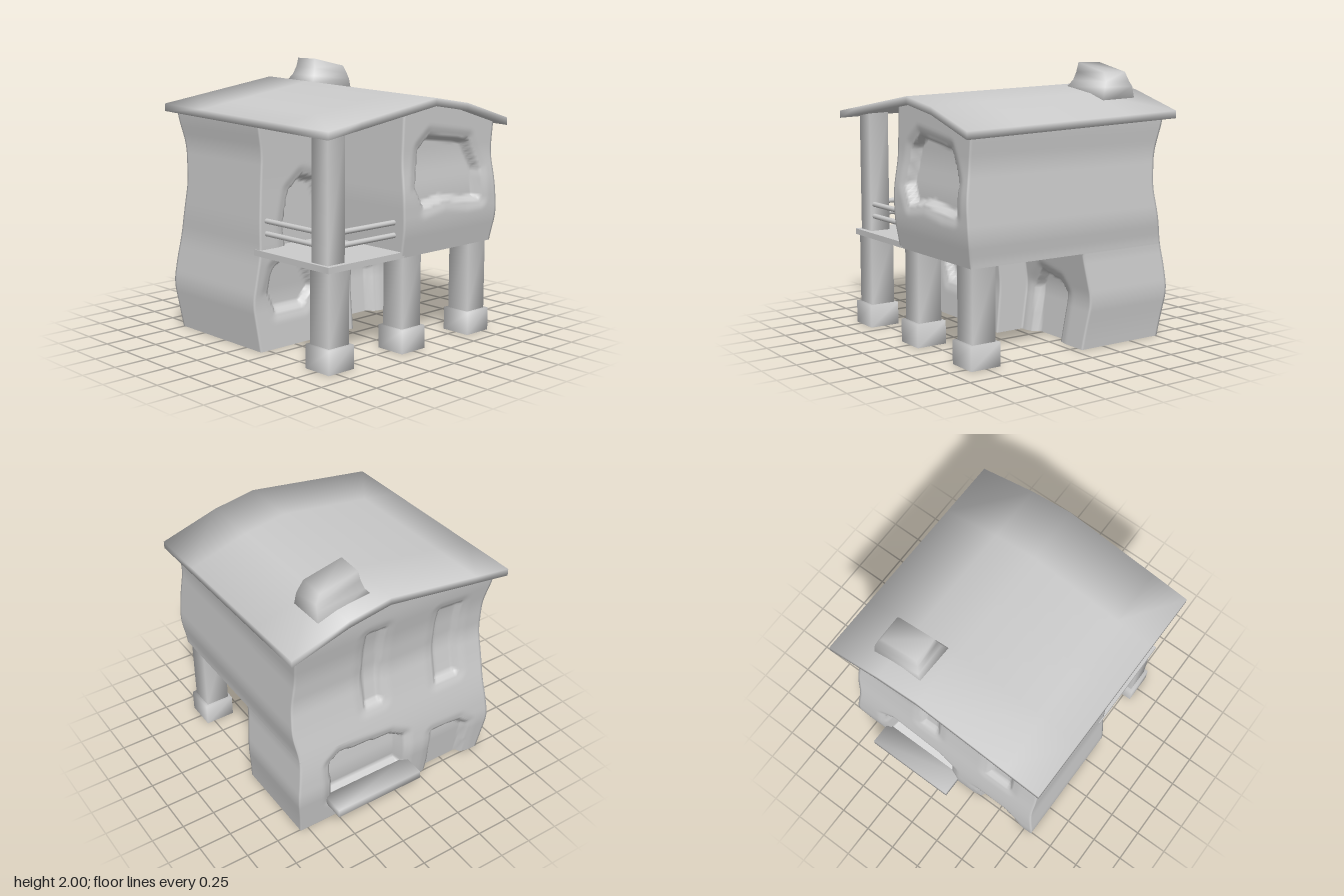
import * as THREE from 'three';
import { mergeVertices } from 'three/addons/utils/BufferGeometryUtils.js';

const material = new THREE.MeshStandardMaterial({ color: 0xcccccc, side: THREE.DoubleSide });

// Piecewise linear lookup in a list of [input, value]
function lookup(table, t) {
  for (let i = 1; i < table.length; i++) {
    const [a, va] = table[i - 1], [b, vb] = table[i];
    if (t <= b || i === table.length - 1) return va + (vb - va) * (t - a) / (b - a);
  }
}

// Wavy wall profile by height, with its kinks softened
const profile = table => y =>
  [-0.06, -0.03, 0, 0.03, 0.06].reduce((sum, d) => sum + lookup(table, y + d) / 5, 0);

const rightX = profile([[0, 0.81], [0.12, 0.82], [0.35, 0.85], [0.69, 0.807], [0.9, 0.838], [1.36, 0.797], [1.6, 0.825], [1.8, 0.83]]);
const leftX = profile([[0, -0.815], [0.35, -0.855], [0.7, -0.808], [0.9, -0.81], [1.4, -0.787], [1.6, -0.82], [1.8, -0.83]]);
const backZ = profile([[0, -0.76], [0.35, -0.815], [0.55, -0.8], [0.7, -0.775], [0.9, -0.73], [1.12, -0.69], [1.37, -0.713], [1.61, -0.77], [1.8, -0.79]]);
const nearZ = profile([[0, 0.168], [0.35, 0.137], [0.69, 0.165], [1.2, 0.16], [1.8, 0.17]]);
const farZ = profile([[0, -0.06], [0.35, -0.11], [0.69, -0.06]]);
const roomZ = profile([[0.69, 0.865], [0.9, 0.903], [1.12, 0.903], [1.35, 0.87], [1.8, 0.87]]);
const roomX = profile([[0.69, -0.13], [1.1, -0.147], [1.7, -0.12]]);

// Underside of the roof
const roofUnder = (x, z) =>
  lookup([[-0.89, 1.578], [0.12, 1.733], [0.45, 1.68], [0.89, 1.547]], x) + 0.062 * (0.945 - z) / 1.78;

// Distance from a point to a polygon, negative inside
function polygonDistance(poly, x, y) {
  let best = Infinity, inside = false;
  poly.forEach(([ax, ay], i) => {
    const [bx, by] = poly[(i + 1) % poly.length];
    const dx = bx - ax, dy = by - ay;
    const t = THREE.MathUtils.clamp(((x - ax) * dx + (y - ay) * dy) / (dx * dx + dy * dy), 0, 1);
    best = Math.min(best, Math.hypot(x - ax - t * dx, y - ay - t * dy));
    if (ay > y !== by > y && x < ax + dx * (y - ay) / dy) inside = !inside;
  });
  return inside ? -best : best;
}

// Flat pane inside the outline, a steep step at it and a shallow dip around it
function recessDepth({ poly, depth }, x, y) {
  const d = polygonDistance(poly, x, y);
  const step = 1 - THREE.MathUtils.smoothstep(d, -0.012, 0.018);
  const dip = 0.25 * (1 - THREE.MathUtils.smoothstep(d, 0, 0.09));
  return depth * Math.max(step, dip);
}

// Closed ring of walls; corners(y) lists [x, z] anticlockwise from the front left
function wallRing(corners, bottom, top, rows, recesses) {
  const base = corners(bottom), ring = [];
  base.forEach(([x, z], k) => {
    const [nx, nz] = base[(k + 1) % base.length];
    const n = Math.ceil(Math.hypot(nx - x, nz - z) / 0.018);
    for (let i = 0; i < n; i++) ring.push([k, i / n]);
  });
  const pos = [], index = [], n = ring.length;
  const place = (c, [k, t]) => {
    const a = c[k], b = c[(k + 1) % c.length];
    return [a[0] + (b[0] - a[0]) * t, a[1] + (b[1] - a[1]) * t];
  };
  for (let j = 0; j <= rows; j++) {
    ring.forEach((r, i) => {
      const y = bottom + (top(...place(base, r)) - bottom) * j / rows;
      let [x, z] = place(corners(y), r);
      for (const rec of recesses) if (rec.wall === r[0]) z += (r[0] === 4 ? 1 : -1) * recessDepth(rec, x, y);
      pos.push(x, y, z);
      if (j < rows) {
        const a = j * n + i, b = j * n + (i + 1) % n;
        index.push(a, b, b + n, a, b + n, a + n);
      }
    });
  }
  const g = new THREE.BufferGeometry();
  g.setAttribute('position', new THREE.Float32BufferAttribute(pos, 3));
  g.setIndex(index);
  g.computeVertexNormals();
  return g;
}

// Soft shading across all edges: every face counts equally, whatever its size
function softShade(geometry) {
  geometry.deleteAttribute('normal');
  geometry.deleteAttribute('uv');
  const g = mergeVertices(geometry), p = g.attributes.position, ids = g.index.array;
  const normals = Array.from({ length: p.count }, () => new THREE.Vector3());
  const tri = new THREE.Triangle(), face = new THREE.Vector3();
  for (let i = 0; i < ids.length; i += 3) {
    tri.setFromAttributeAndIndices(p, ids[i], ids[i + 1], ids[i + 2]).getNormal(face);
    for (let k = 0; k < 3; k++) normals[ids[i + k]].add(face);
  }
  g.setAttribute('normal', new THREE.Float32BufferAttribute(normals.flatMap(n => n.normalize().toArray()), 3));
  return g;
}

// Box without the listed sides (2 = top, 3 = bottom)
function openBox(w, h, d, missing) {
  const g = new THREE.BoxGeometry(w, h, d);
  g.setIndex([...g.index.array].filter((_, i) => !missing.includes(Math.floor(i / 6))));
  return softShade(g);
}

export function createModel() {
  const house = new THREE.Group();
  const add = (name, geometry) => {
    const mesh = new THREE.Mesh(geometry, material);
    mesh.name = name;
    house.add(mesh);
    return mesh;
  };

  // Ground floor: stepped front, two doors, front window and back window
  add('lowerWalls', wallRing(
    y => [[leftX(y), nearZ(y)], [0.08, nearZ(y)], [0.08, farZ(y)], [rightX(y), farZ(y)], [rightX(y), backZ(y)], [leftX(y), backZ(y)]],
    0, () => 0.69, 38, [
      { wall: 0, depth: 0.07, poly: [[-0.64, 0.27], [-0.39, 0.27], [-0.29, 0.39], [-0.4, 0.62], [-0.54, 0.645], [-0.67, 0.58], [-0.71, 0.42]] },
      { wall: 2, depth: 0.07, poly: [[0.21, -0.2], [0.52, -0.2], [0.55, 0.35], [0.49, 0.43], [0.28, 0.475], [0.19, 0.35]] },
      { wall: 4, depth: 0.11, poly: [[-0.06, 0.23], [0.55, 0.23], [0.56, 0.55], [0.48, 0.6], [0.05, 0.56], [-0.06, 0.5]] },
      { wall: 4, depth: 0.06, poly: [[-0.66, -0.2], [-0.33, -0.2], [-0.33, 0.42], [-0.58, 0.41], [-0.66, 0.34]] },
    ]));

  // Upper floor: room reaching forward on the left side, balcony wall on the right
  add('upperWalls', wallRing(
    y => [[leftX(y), nearZ(y)], [roomX(y), nearZ(y)], [roomX(y), roomZ(y)], [rightX(y), roomZ(y)], [rightX(y), backZ(y)], [leftX(y), backZ(y)]],
    0.69, (x, z) => roofUnder(x, z) + 0.02, 54, [
      { wall: 0, depth: 0.07, poly: [[-0.55, 0.5], [-0.25, 0.5], [-0.24, 1.03], [-0.3, 1.18], [-0.42, 1.21], [-0.53, 1.12], [-0.58, 0.9]] },
      { wall: 2, depth: 0.08, poly: [[0, 1.17], [0.07, 1.035], [0.28, 1.07], [0.52, 1.03], [0.66, 1.03], [0.66, 1.24], [0.55, 1.45], [0.15, 1.51], [0.05, 1.43]] },
      { wall: 4, depth: 0.045, poly: [[0.09, 0.88], [0.23, 0.88], [0.24, 1.53], [0.1, 1.53]] },
      { wall: 4, depth: 0.045, poly: [[-0.58, 0.84], [-0.39, 0.84], [-0.38, 1.48], [-0.57, 1.46]] },
    ]));

  // Underside of the forward room
  const under = new THREE.PlaneGeometry(0.94, 0.95).rotateX(Math.PI / 2);
  add('roomUnderside', under).position.set(0.34, 0.69, 0.39);

  add('windowSill', openBox(0.72, 0.065, 0.185, [])).position.set(0.24, 0.2125, -0.8525);
  add('balconyFloor', new THREE.BoxGeometry(0.715, 0.043, 0.768)).position.set(-0.4575, 0.7115, 0.484);

  // Balcony rails
  for (const y of [0.845, 0.935]) {
    for (const [a, b] of [[[-0.66, 0.8], [-0.13, 0.8]], [[-0.75, 0.12], [-0.75, 0.7]]]) {
      const path = new THREE.LineCurve3(new THREE.Vector3(a[0], y, a[1]), new THREE.Vector3(b[0], y, b[1]));
      add('balconyRail', new THREE.TubeGeometry(path, 1, 0.019, 10));
    }
  }

  // Posts and footings
  for (const x of [-0.7, -0.003, 0.695]) {
    add('post', openBox(0.185, 0.53, 0.185, [2, 3])).position.set(x, 0.43, 0.7525);
    add('footing', openBox(0.23, 0.17, 0.233, [3])).position.set(x, 0.085, 0.7535);
  }
  add('upperPost', openBox(0.155, 0.915, 0.155, [2, 3])).position.set(-0.7125, 1.1775, 0.7525);

  // Roof: a slab bent over the ridge
  const columns = [-0.89, -0.6, 0.12, 0.45, 0.89];
  const roof = new THREE.BoxGeometry(4, 0.055, 1.78, 4, 1, 4);
  const p = roof.attributes.position;
  for (let i = 0; i < p.count; i++) {
    const x = columns[Math.round(p.getX(i) + 2)], z = p.getZ(i) + 0.055;
    p.setXYZ(i, x, roofUnder(x, z) + p.getY(i) + 0.0275, z);
  }
  add('roof', softShade(roof));

  // Chimney: rings of [left, right, back, front, left height, right height]
  const rings = [
    [0.18, 0.6, -0.7, -0.39, 1.82, 1.69],
    [0.22, 0.593, -0.675, -0.42, 1.87, 1.83],
    [0.238, 0.585, -0.65, -0.435, 1.93, 1.87],
    [0.25, 0.55, -0.64, -0.445, 2.0, 1.935],
  ];
  const chimney = new THREE.BoxGeometry(1, 3, 1, 1, 3, 1);
  const c = chimney.attributes.position;
  for (let i = 0; i < c.count; i++) {
    const [l, r, b, f, yl, yr] = rings[Math.round(c.getY(i) + 1.5)];
    const right = c.getX(i) > 0;
    c.setXYZ(i, right ? r : l, right ? yr : yl, c.getZ(i) > 0 ? f : b);
  }
  add('chimney', softShade(chimney));

  return house;
}
